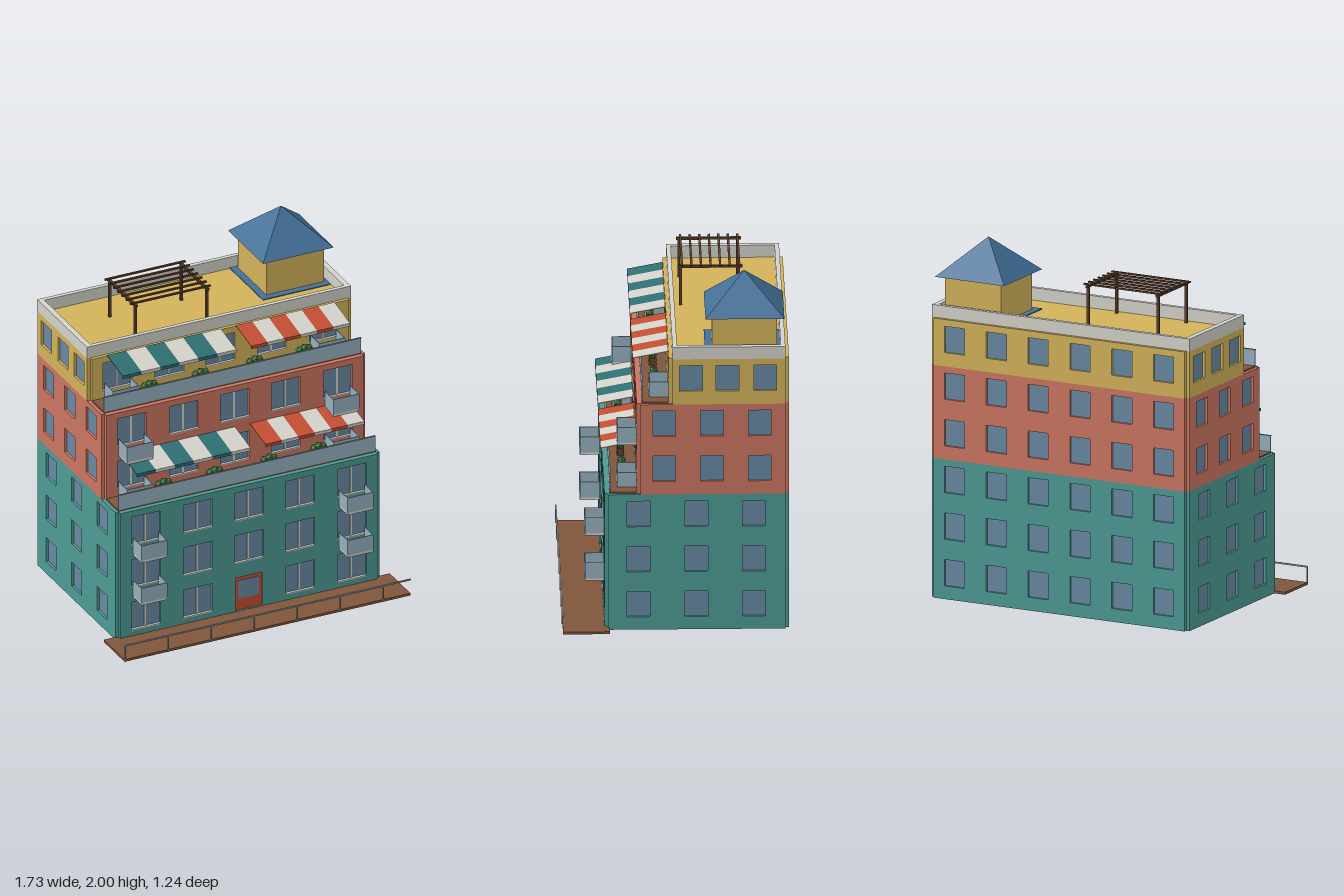
import * as THREE from 'three';

const mats = {};
function mat(color) {
  return (mats[color] ??= new THREE.MeshStandardMaterial({ color, flatShading: true }));
}
const TEAL = 0x4d9a93, SALMON = 0xcb7561, YELLOW = 0xd2b25a, GLASS = 0x6888a3, PALE = 0x94b0be;
const BROWN = 0x80563c, WHITE = 0xd3d2ca, RED = 0xc24e32, WOOD = 0x5e3f2a, BLUE = 0x437099;

// Box given by its limits on each axis
function box(parent, name, color, x0, x1, y0, y1, z0, z1) {
  const m = new THREE.Mesh(new THREE.BoxGeometry(x1 - x0, y1 - y0, z1 - z0), mat(color));
  m.position.set((x0 + x1) / 2, (y0 + y1) / 2, (z0 + z1) / 2);
  m.name = name;
  parent.add(m);
  return m;
}

function rect(path, x0, x1, y0, y1) {
  path.moveTo(x0, y0);
  path.lineTo(x1, y0);
  path.lineTo(x1, y1);
  path.lineTo(x0, y1);
  path.closePath();
  return path;
}

// Wall panel facing local +z, pierced by window openings with recessed panes
function wall(parent, name, color, u0, u1, y0, y1, openings) {
  const g = new THREE.Group();
  g.name = name;
  const shape = rect(new THREE.Shape(), u0, u1, y0, y1);
  for (const o of openings) {
    const [a, b, c, d] = [o.u - o.w / 2, o.u + o.w / 2, o.y0, o.y1];
    shape.holes.push(rect(new THREE.Path(), a, b, c, d));
    if (o.door) {
      box(g, 'door', RED, a, b, c, d, 0, 0.01);
      box(g, 'doorPane', GLASS, a + 0.02, b - 0.02, c + 0.07, d - 0.025, 0.005, 0.013);
      continue;
    }
    box(g, 'windowPane', GLASS, a, b, c, d, 0, 0.006);
    if (o.mullion) {
      box(g, 'windowMullion', WHITE, o.u - 0.005, o.u + 0.005, c, d, 0.004, 0.01);
      box(g, 'windowSill', WHITE, a, b, c, c + 0.006, 0.004, 0.021);
    }
  }
  const geo = new THREE.ExtrudeGeometry(shape, { depth: 0.02, bevelEnabled: false });
  const m = new THREE.Mesh(geo, mat(color));
  m.name = 'wallPanel';
  g.add(m);
  parent.add(g);
  return g;
}

// One coloured tier: solid core clad in four pierced wall panels
function tier(parent, name, color, y0, y1, zf, floors, sideZ) {
  const g = new THREE.Group();
  g.name = name;
  box(g, 'core', color, -0.78, 0.78, y0, y1, -0.6, zf);
  const front = [], back = [], right = [], left = [];
  for (const f of floors) {
    const top = 0.222 + f * 0.262;
    for (const u of [-0.625, -0.31, 0, 0.31, 0.625]) {
      if (f === 0 && u === 0) front.push({ u, w: 0.165, y0: 0.016, y1: top, door: true });
      else front.push({ u, w: 0.175, y0: top - 0.175, y1: top, mullion: true });
    }
    for (let i = 0; i < 6; i++) back.push({ u: (i - 2.5) * 0.26, w: 0.125, y0: top - 0.148, y1: top });
    for (const z of sideZ) {
      right.push({ u: -z, w: 0.125, y0: top - 0.148, y1: top });
      left.push({ u: z, w: 0.125, y0: top - 0.148, y1: top });
    }
  }
  wall(g, 'frontWall', color, -0.78, 0.78, y0, y1, front).position.z = zf;
  const b = wall(g, 'backWall', color, -0.78, 0.78, y0, y1, back);
  b.rotation.y = Math.PI;
  b.position.z = -0.6;
  const r = wall(g, 'rightWall', color, -zf, 0.6, y0, y1, right);
  r.rotation.y = Math.PI / 2;
  r.position.x = 0.78;
  const l = wall(g, 'leftWall', color, -0.6, zf, y0, y1, left);
  l.rotation.y = -Math.PI / 2;
  l.position.x = -0.78;
  parent.add(g);
}

// Small balcony: slab with three thin panels
function balcony(parent, x, y, z) {
  const g = new THREE.Group();
  g.name = 'balcony';
  const w = 0.077, d = 0.105;
  box(g, 'balconyFloor', WHITE, -w, w, 0, 0.014, 0, d);
  box(g, 'balconyFront', PALE, -w, w, 0.014, 0.105, d - 0.005, d);
  for (const s of [-1, 1]) box(g, 'balconySide', PALE, s * w - 0.0025, s * w + 0.0025, 0.014, 0.105, 0, d);
  g.position.set(x, y, z);
  parent.add(g);
}

// Sloping striped awning with a short valance
function awning(parent, x0, stripe, color, y, z) {
  const g = new THREE.Group();
  g.name = 'awning';
  const run = 0.195, drop = 0.038;
  for (let i = 0; i < 6; i++) {
    const c = i % 2 ? WHITE : color, a = x0 + i * stripe;
    const m = box(g, 'awningStripe', c, a, a + stripe, -0.002, 0.002, -0.5 * run, 0.5 * run);
    m.position.set(a + stripe / 2, -drop / 2, run / 2);
    m.rotation.x = Math.atan2(drop, run);
    box(g, 'awningValance', c, a, a + stripe, -drop - 0.016, -drop, run - 0.003, run);
  }
  g.position.set(0, y, z);
  parent.add(g);
}

// Setback terrace: deck, glazed railing, planters and awnings
function terrace(parent, y, zWall, zEdge) {
  const g = new THREE.Group();
  g.name = 'terrace';
  box(g, 'terraceDeck', BROWN, -0.78, 0.78, y, y + 0.008, zWall, zEdge - 0.008);
  box(g, 'terraceRailing', PALE, -0.78, 0.78, y + 0.008, y + 0.095, zEdge - 0.013, zEdge - 0.007);
  box(g, 'terraceHandrail', 0x7d868a, -0.78, 0.78, y + 0.095, y + 0.1, zEdge - 0.015, zEdge - 0.005);
  for (const x of [-0.47, -0.16, 0.17, 0.47]) {
    box(g, 'planter', WOOD, x - 0.045, x + 0.045, y + 0.008, y + 0.05, zEdge - 0.1, zEdge - 0.06);
    for (let i = -1; i <= 1; i++) {
      const leaf = new THREE.Mesh(new THREE.IcosahedronGeometry(0.024, 0), mat(0x47803f));
      leaf.name = 'plant';
      leaf.position.set(x + i * 0.028, y + 0.068 + 0.008 * (i === 0), zEdge - 0.08);
      g.add(leaf);
    }
  }
  awning(g, -0.69, 0.115, 0x2f6f72, y + 0.268, zWall);
  awning(g, 0.09, 0.1, RED, y + 0.268, zWall);
  parent.add(g);
}

export function createModel() {
  const model = new THREE.Group();
  model.name = 'steppedApartmentBuilding';

  // Three stepped tiers
  tier(model, 'lowerTier', TEAL, 0, 0.785, 0.365, [0, 1, 2], [0.2, -0.115, -0.43]);
  tier(model, 'middleTier', SALMON, 0.785, 1.307, 0.19, [3, 4], [0.06, -0.2, -0.46]);
  tier(model, 'topTier', YELLOW, 1.307, 1.57, 0.015, [5], [-0.085, -0.285, -0.49]);
  terrace(model, 0.785, 0.21, 0.365);
  terrace(model, 1.307, 0.035, 0.19);

  // Balconies on every upper floor
  const fronts = [0.385, 0.385, 0.21, 0.21, 0.035];
  fronts.forEach((z, i) => {
    for (const s of [-1, 1]) balcony(model, s * 0.625, 0.25 + i * 0.262, z);
  });

  // Roof parapet
  const p = new THREE.Group();
  p.name = 'parapet';
  for (const s of [-1, 1]) box(p, 'parapetSide', WHITE, s * 0.785 - 0.016, s * 0.785 + 0.016, 1.57, 1.64, -0.6, 0.015);
  box(p, 'parapetFront', WHITE, -0.77, 0.77, 1.57, 1.64, -0.01, 0.015);
  box(p, 'parapetBack', WHITE, -0.77, 0.77, 1.57, 1.64, -0.6, -0.575);
  model.add(p);

  // Roof turret with pyramid cap
  const t = new THREE.Group();
  t.name = 'turret';
  box(t, 'turretBase', BLUE, 0.355, 0.765, 1.57, 1.575, -0.575, -0.165);
  box(t, 'turretWalls', YELLOW, 0.395, 0.745, 1.57, 1.797, -0.555, -0.205);
  const cap = new THREE.Mesh(new THREE.ConeGeometry(0.215 * Math.SQRT2, 0.205, 4, 1), mat(BLUE));
  cap.name = 'turretRoof';
  cap.geometry.rotateY(Math.PI / 4);
  cap.position.set(0.57, 1.8975, -0.38);
  t.add(cap);
  model.add(t);

  // Pergola
  const g = new THREE.Group();
  g.name = 'pergola';
  for (const x of [-0.477, -0.043]) {
    for (const z of [-0.365, -0.047]) box(g, 'pergolaPost', WOOD, x - 0.007, x + 0.007, 1.57, 1.79, z - 0.007, z + 0.007);
    box(g, 'pergolaBeam', WOOD, x - 0.008, x + 0.008, 1.787, 1.8, -0.385, -0.033);
  }
  for (let i = 0; i < 7; i++) {
    const z = -0.367 + i * 0.052;
    box(g, 'pergolaSlat', WOOD, -0.505, -0.017, 1.799, 1.808, z - 0.006, z + 0.006);
  }
  model.add(g);

  // Street deck with railing
  box(model, 'streetDeck', BROWN, -0.867, 0.867, 0, 0.014, 0.357, 0.612);
  box(model, 'streetRail', 0x9a9d9c, -0.867, 0.867, 0.096, 0.104, 0.61, 0.618);
  for (let i = 0; i < 7; i++) {
    const x = -0.864 + i * 0.261;
    box(model, 'streetRailPost', 0x9a9d9c, x - 0.003, x + 0.003, 0, 0.1, 0.611, 0.617);
  }
  return model;
}
